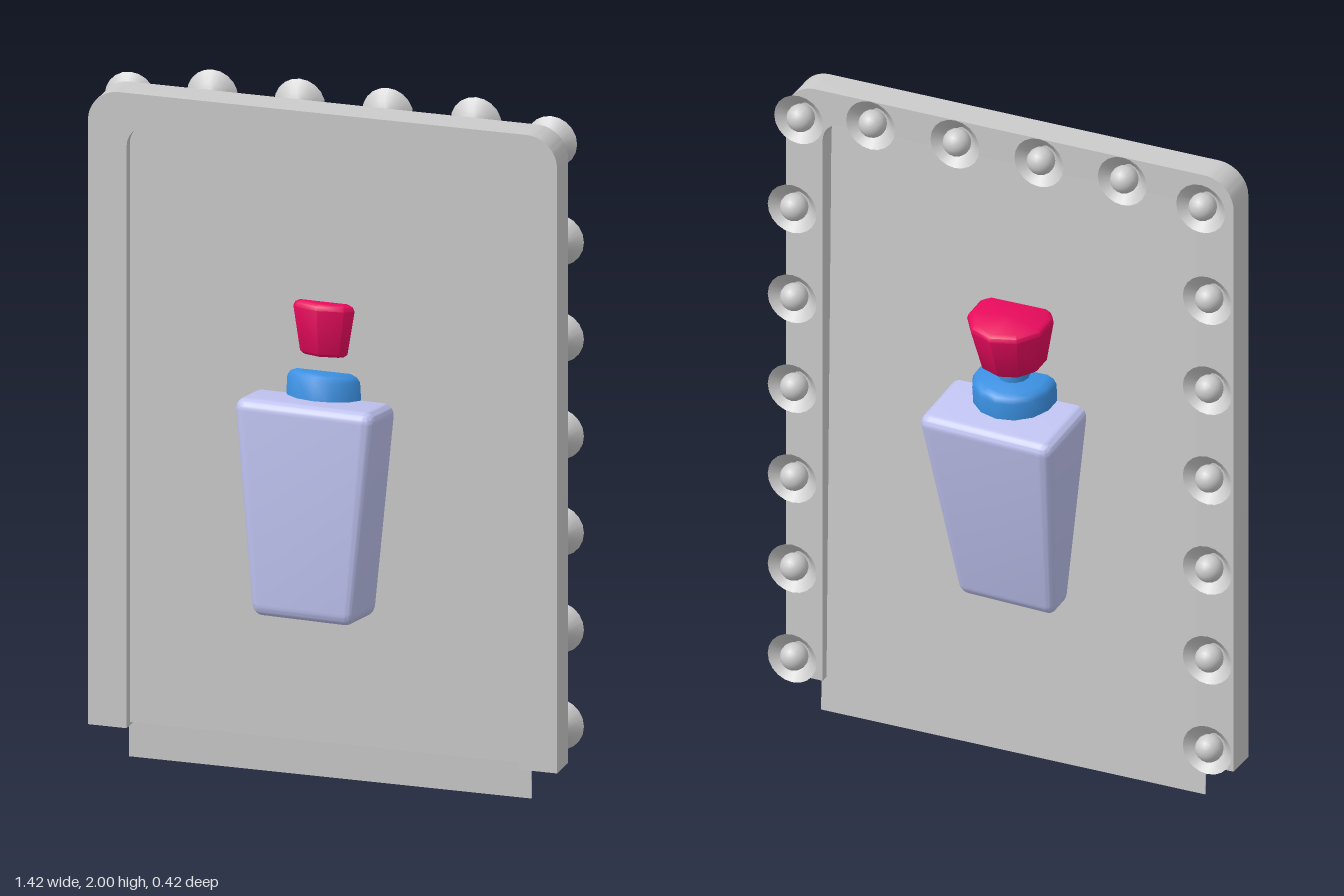
import * as THREE from 'three';
import { toCreasedNormals } from 'three/addons/utils/BufferGeometryUtils.js';
import { RoundedBoxGeometry } from 'three/addons/geometries/RoundedBoxGeometry.js';

const material = (color, side = THREE.FrontSide) => new THREE.MeshStandardMaterial({ color, side });
const grey = material(0xcccccc);
const greyOpen = material(0xcccccc, THREE.DoubleSide);
const lavender = material(0xbfc3f0);
const blue = material(0x3a8fe0);
const crimson = material(0xe60a5c);

const OPEN_W = 0.572, OPEN_TOP = 1.867, OPEN_R = 0.06;

function add(parent, name, geometry, mat, x = 0, y = 0, z = 0) {
  const mesh = new THREE.Mesh(geometry, mat);
  mesh.name = name;
  mesh.position.set(x, y, z);
  parent.add(mesh);
  return mesh;
}

function lathe(points, sides, crease = 0.7) {
  const profile = points.map(([r, y]) => new THREE.Vector2(r, y));
  return toCreasedNormals(new THREE.LatheGeometry(profile, sides), crease);
}

// Arch-shaped frame, open at the bottom
function frameGeometry() {
  const s = new THREE.Shape();
  const w = 0.685, top = 1.962, R = 0.09, base = 0.105;
  s.moveTo(w, base);
  s.lineTo(w, top - R);
  s.absarc(w - R, top - R, R, 0, Math.PI / 2);
  s.lineTo(-w + R, top);
  s.absarc(-w + R, top - R, R, Math.PI / 2, Math.PI);
  s.lineTo(-w, base);
  s.lineTo(-OPEN_W, base);
  s.lineTo(-OPEN_W, OPEN_TOP - OPEN_R);
  s.absarc(-OPEN_W + OPEN_R, OPEN_TOP - OPEN_R, OPEN_R, Math.PI, Math.PI / 2, true);
  s.lineTo(OPEN_W - OPEN_R, OPEN_TOP);
  s.absarc(OPEN_W - OPEN_R, OPEN_TOP - OPEN_R, OPEN_R, Math.PI / 2, 0, true);
  s.lineTo(OPEN_W, base);
  s.closePath();
  const g = new THREE.ExtrudeGeometry(s, { depth: 0.097, bevelEnabled: false, curveSegments: 8 });
  g.translate(0, 0, -0.032);
  return toCreasedNormals(g, 0.6);
}

// Tapered body, standing on its local origin
function bodyGeometry(height) {
  const g = new RoundedBoxGeometry(0.42, height, 0.405, 4, 0.035);
  const p = g.attributes.position;
  for (let i = 0; i < p.count; i++) {
    const t = p.getY(i) / height + 0.5;
    p.setXYZ(i, p.getX(i) * (0.71 + 0.29 * t), p.getY(i) + height / 2, p.getZ(i) * (0.67 + 0.33 * t));
  }
  g.computeVertexNormals();
  return toCreasedNormals(g, 0.6);
}

export function createModel() {
  const model = new THREE.Group();
  model.name = 'mirrorWithBottle';

  add(model, 'frame', frameGeometry(), grey);

  // Flat pane in front, backing sheet leaning towards it at the top
  add(model, 'mirrorPane', new THREE.BoxGeometry(OPEN_W * 2 + 0.01, 1.755, 0.004), grey, 0, 0.9925, 0.035);
  const sheet = new THREE.BoxGeometry(1.175, 1.9, 0.006);
  sheet.translate(0, 0.95, 0);
  add(model, 'backSheet', sheet, grey, 0, 0, -0.006).rotation.x = 0.019;

  // Lamps: flared dish with a round bulb, facing backwards
  const dish = lathe([[0, 0.003], [0.026, 0.003], [0.03, 0.016], [0.045, 0.039], [0.075, 0.066]], 20, 1);
  const bulb = new THREE.SphereGeometry(0.04, 16, 12);
  const spots = [[-0.375, 1.925], [-0.12, 1.925], [0.137, 1.925], [0.395, 1.925]];
  for (const side of [-1, 1]) {
    spots.push([side * 0.615, 1.893]);
    for (let i = 0; i < 6; i++) spots.push([side * 0.635, 0.193 + i * 0.283]);
  }
  for (const [x, y] of spots) {
    const lamp = new THREE.Group();
    lamp.name = 'lamp';
    add(lamp, 'lampDish', dish, greyOpen);
    add(lamp, 'lampBulb', bulb, grey, 0, 0.053, 0);
    lamp.position.set(x, y, -0.031);
    lamp.rotation.x = -Math.PI / 2;
    model.add(lamp);
  }

  // Bottle, leaning back and slightly turned
  const bottle = new THREE.Group();
  bottle.name = 'bottle';
  const h = 0.622;
  add(bottle, 'bottleBody', bodyGeometry(h), lavender);
  add(bottle, 'bottleCollar', lathe([[0, -0.02], [0.12, -0.02], [0.12, 0.052], [0.112, 0.066], [0.095, 0.074],
    [0, 0.074]], 14), blue, 0, h, 0);
  add(bottle, 'bottleNeck', lathe([[0.046, 0.06], [0.042, 0.15]], 12), blue, 0, h, 0);
  add(bottle, 'bottleCap', lathe([[0, 0.12], [0.086, 0.12], [0.095, 0.128], [0.122, 0.256], [0.118, 0.268],
    [0.106, 0.275], [0, 0.275]], 10, 0.75), crimson, 0, h, 0);
  bottle.rotation.order = 'YXZ';
  bottle.rotation.set(-0.122, -0.05, 0);
  bottle.position.set(-0.01, 0.503, 0.07);
  model.add(bottle);

  return model;
}
